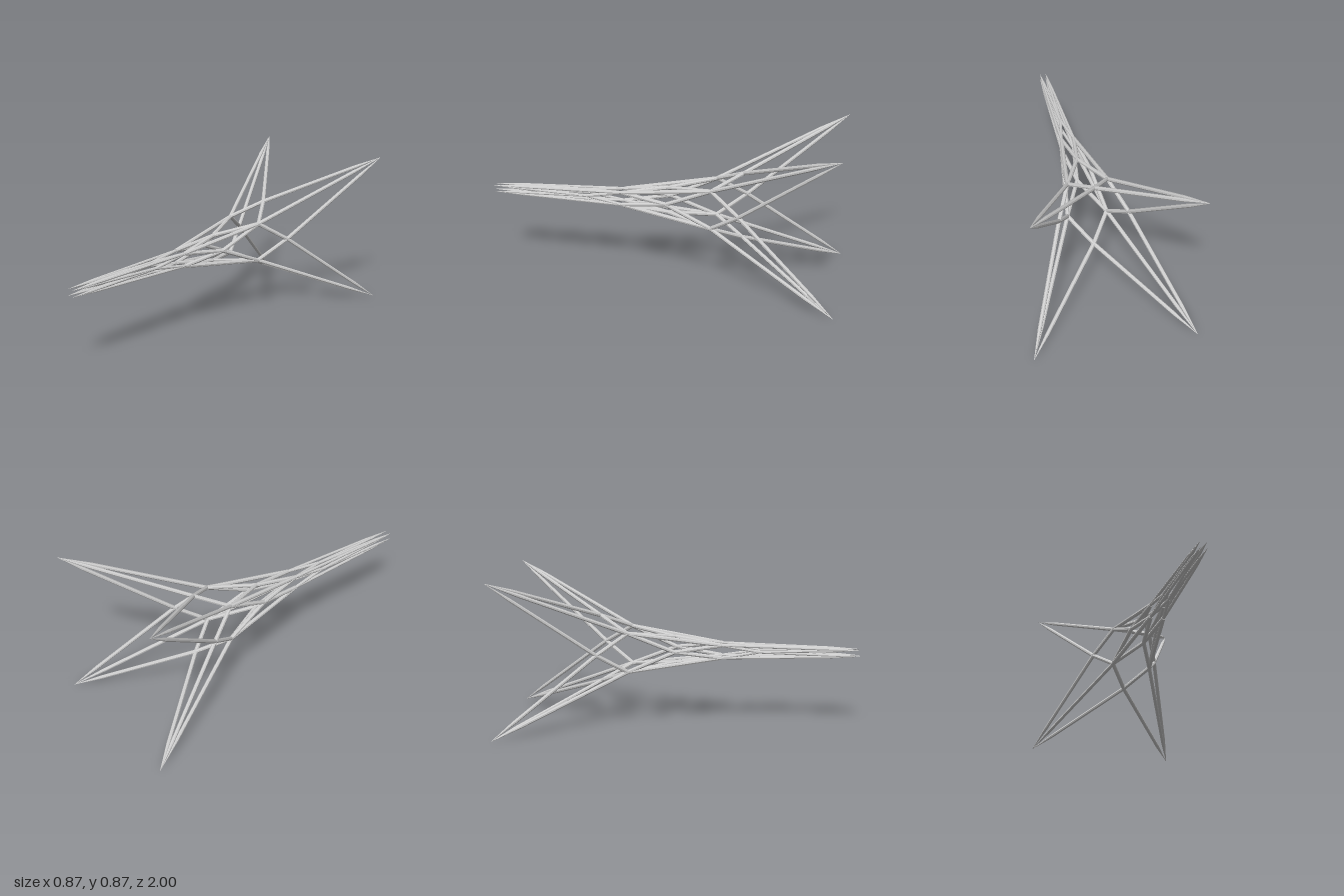
import * as THREE from 'three';

const RADIUS = 0.0115, NOSE_RADIUS = 0.0085, SIDES = 8, CENTRE_Y = 0.435;

export function createModel() {
  const model = new THREE.Group();
  model.name = 'latticeFrame';
  const steel = new THREE.MeshStandardMaterial({ color: 0xcccccc, flatShading: true });
  steel.name = 'light grey steel';

  // Faceted strut between two nodes; a pointed strut tapers to its far end.
  function strut(parent, name, a, b, radius, pointed = false) {
    const dir = b.clone().sub(a), length = dir.length();
    const profile = [[0, 0], [radius, 0]];
    if (pointed) profile.push([radius * 0.9, length * 0.78], [0.0006, length]);
    else profile.push([radius, length], [0, length]);
    const geometry = new THREE.LatheGeometry(profile.map(([r, y]) => new THREE.Vector2(r, y)), SIDES);
    const mesh = new THREE.Mesh(geometry, steel);
    mesh.name = name;
    mesh.position.copy(a);
    mesh.quaternion.setFromUnitVectors(new THREE.Vector3(0, 1, 0), dir.normalize());
    parent.add(mesh);
  }

  // Node on a corner edge or on the middle of a face, before turning.
  const corner = (s, z) => new THREE.Vector3(s, s, z);
  const middle = (s, z) => new THREE.Vector3(0, s, z);
  const mirrorX = (v) => new THREE.Vector3(-v.x, v.y, v.z);

  const legTip = corner(0.434, -1), hip = corner(0.11, -0.29);
  const waist = corner(0.036, 0.23), noseTip = corner(0.018, 1);
  const rearCross = middle(0.19, -0.455), midCross = middle(0.074, -0.03), frontCross = middle(0.028, 0.44);

  for (let i = 0; i < 4; i++) {
    const side = new THREE.Group();
    side.name = 'side' + (i + 1);
    side.position.y = CENTRE_Y;
    side.rotation.z = i * Math.PI / 2;

    // Long edge shared by two faces
    strut(side, 'legEdge', hip, legTip, RADIUS, true);
    strut(side, 'bodyEdge', hip, waist, RADIUS);
    strut(side, 'noseEdge', waist, noseTip, NOSE_RADIUS, true);

    // Diagonal bracing, mirrored across the face
    for (const m of [(v) => v, mirrorX]) {
      strut(side, 'legBrace', m(rearCross), m(legTip), RADIUS, true);
      strut(side, 'hipBraceRear', m(rearCross), m(hip), RADIUS);
      strut(side, 'hipBraceFront', m(hip), m(midCross), RADIUS);
      strut(side, 'waistBraceRear', m(midCross), m(waist), RADIUS);
      strut(side, 'waistBraceFront', m(waist), m(frontCross), NOSE_RADIUS);
      strut(side, 'noseBrace', m(frontCross), m(noseTip), NOSE_RADIUS, true);
    }
    model.add(side);
  }
  return model;
}
